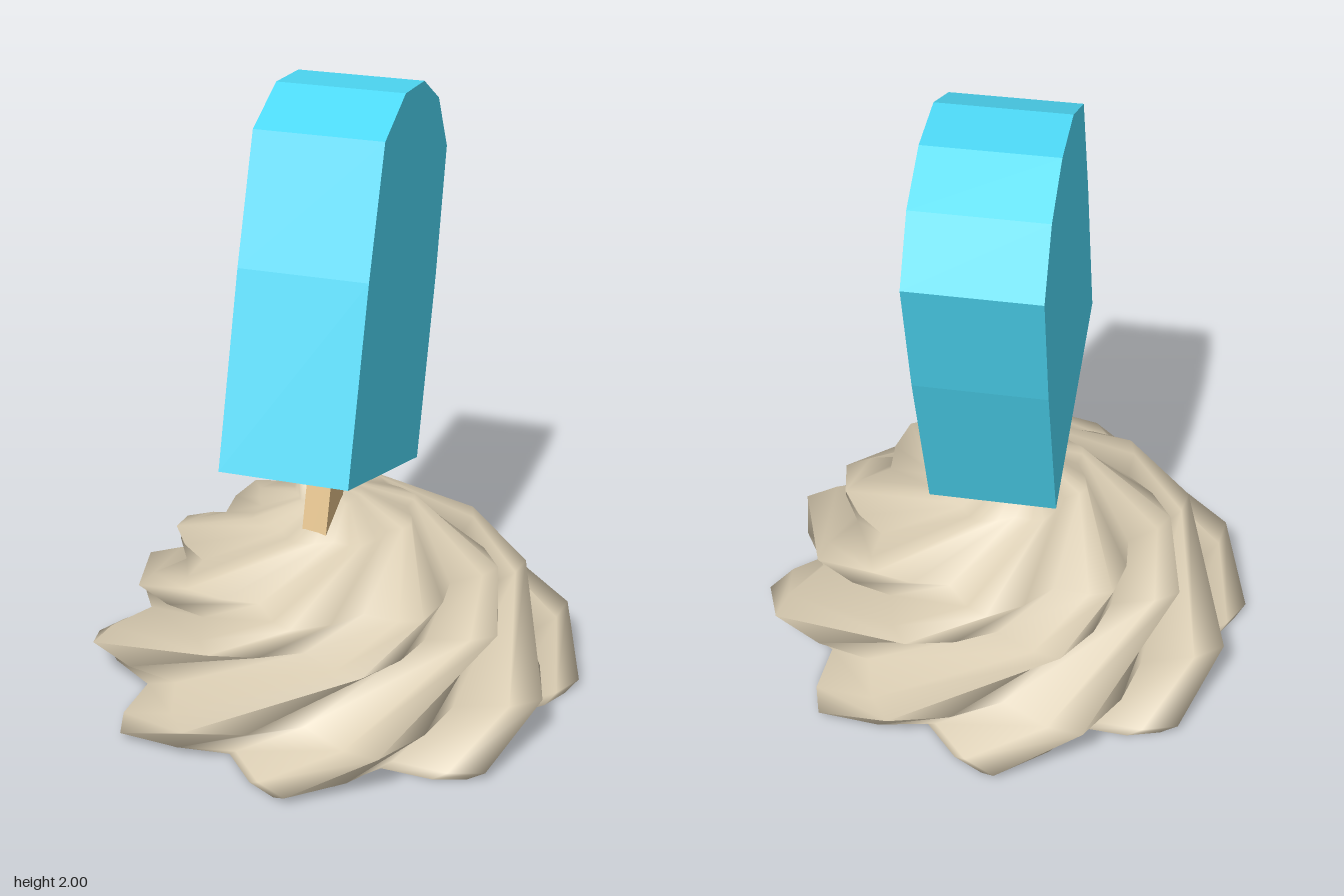
import * as THREE from 'three';

const material = (color, extra = {}) => new THREE.MeshStandardMaterial({ color, ...extra });

// Slab cut from a side outline of [z, y] points, centred on x = 0
function sideSlab(points, width, color, name) {
  const shape = new THREE.Shape(points.map(([z, y]) => new THREE.Vector2(z, y)));
  const geo = new THREE.ExtrudeGeometry(shape, { depth: width, bevelEnabled: false });
  geo.translate(0, 0, -width / 2);
  geo.rotateY(-Math.PI / 2);
  const mesh = new THREE.Mesh(geo, material(color, { flatShading: true }));
  mesh.name = name;
  return mesh;
}

// Whipped swirl: an eight-pointed star that shrinks and twists as it rises
function creamSwirl() {
  // height, ridge radius, ridge angle in degrees, groove depth, x shift
  const rows = [
    [0, 0.79, 86, 0.2, 0],
    [0.03, 0.828, 83, 0.22, 0],
    [0.16, 0.81, 63, 0.22, 0],
    [0.35, 0.65, 20, 0.22, 0],
    [0.45, 0.55, -3, 0.2, 0],
    [0.6, 0.28, -35, 0.15, 0],
    [0.655, 0.11, -55, 0.08, -0.02],
    [0.69, 0.05, -65, 0, -0.08],
    [0.74, 0.004, -70, 0, -0.1],
  ];
  // One ridge: position within its period, and share of the groove depth
  const ridge = [[0, 0], [0.16, 0.33], [0.4, 1], [0.7, 0.5]];
  const lobes = 8, count = lobes * ridge.length;
  const positions = [], index = [];
  for (const [y, r, angle, depth, shift] of rows) {
    for (let k = 0; k < count; k++) {
      const [step, share] = ridge[k % ridge.length];
      const lobe = Math.floor(k / ridge.length);
      const a = THREE.MathUtils.degToRad(angle + (lobe + step) * 360 / lobes);
      const radius = r * (1 - depth * share);
      positions.push(shift + radius * Math.cos(a), y, radius * Math.sin(a));
    }
  }
  for (let i = 0; i < rows.length - 1; i++) {
    for (let k = 0; k < count; k++) {
      const a = i * count + k, b = i * count + (k + 1) % count;
      index.push(a, a + count, b, b, a + count, b + count);
    }
  }
  const geo = new THREE.BufferGeometry();
  geo.setAttribute('position', new THREE.Float32BufferAttribute(positions, 3));
  geo.setIndex(index);
  geo.computeVertexNormals();
  // Open underneath, so both sides show
  const mesh = new THREE.Mesh(geo, material(0xd9ccb2, { side: THREE.DoubleSide }));
  mesh.name = 'creamSwirl';
  return mesh;
}

export function createModel() {
  const group = new THREE.Group();
  group.name = 'icePopOnCream';

  group.add(creamSwirl());

  // Leaning ice pop with a rounded top
  group.add(sideSlab([
    [0.51, 0.945], [-0.265, 0.685], [-0.46, 1.27], [-0.565, 1.68], [-0.45, 1.875],
    [-0.27, 1.98], [-0.06, 2.0], [0.155, 1.915], [0.31, 1.53],
  ], 0.41, 0x4dd8f5, 'icePop'));

  // Wooden stick, its lower end hidden in the cream
  group.add(sideSlab([
    [0.14, 0.83], [0.26, 0.48], [0.2, 0.44], [0.11, 0.46], [-0.01, 0.79],
  ], 0.08, 0xdcbb85, 'stick'));

  return group;
}
